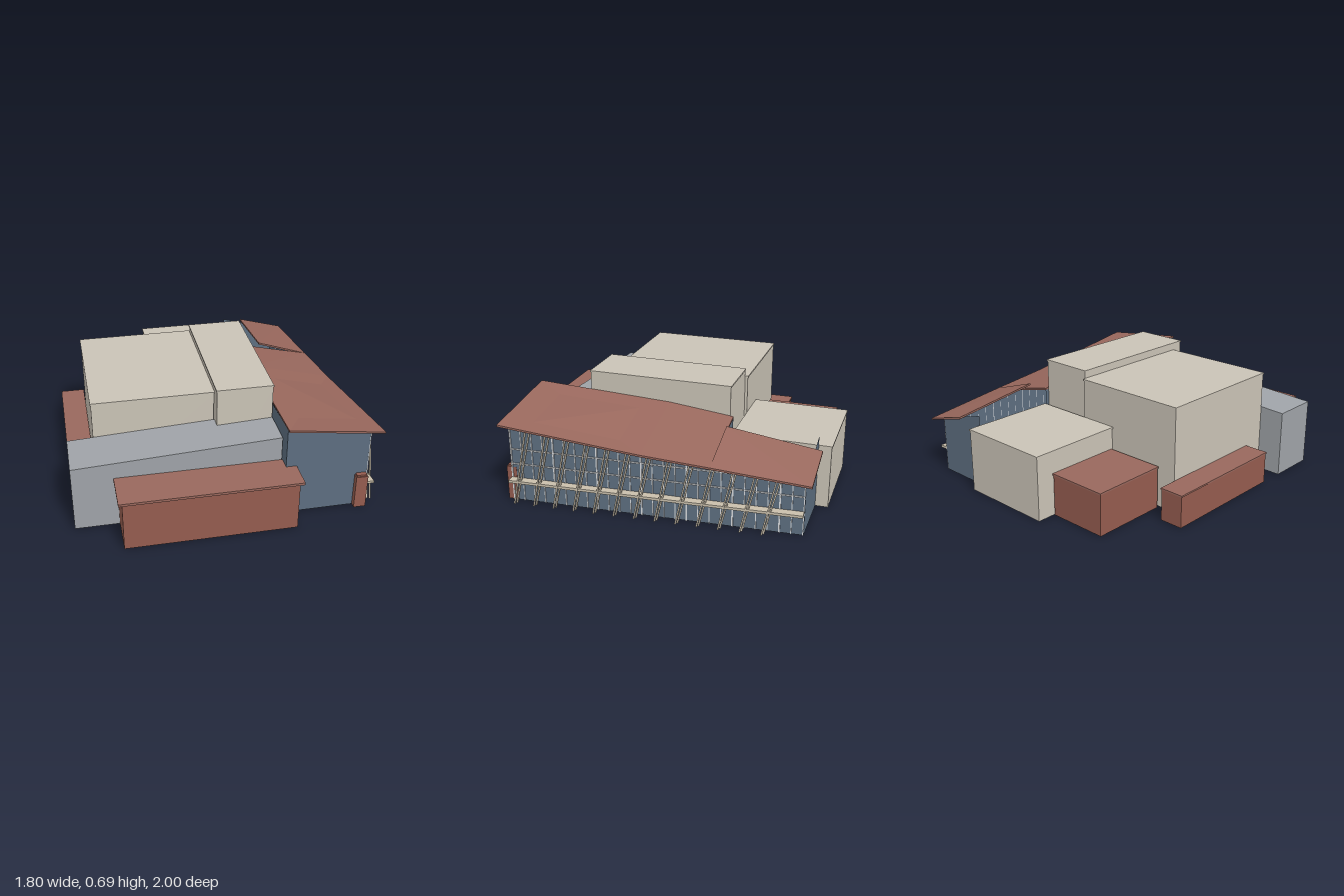
import * as THREE from 'three';

const mat = (name, color) => {
  const m = new THREE.MeshStandardMaterial({ color, side: THREE.DoubleSide });
  m.name = name;
  return m;
};

export function createModel() {
  const model = new THREE.Group();
  model.name = 'building';
  const beige = mat('beige cladding', 0xcac3b6);
  const brick = mat('red brick', 0x945c4f);
  const roofRed = mat('red roof', 0x99685d);
  const grey = mat('grey cladding', 0x9fa3a8);
  const blue = mat('blue glass', 0x5d6e80);
  const white = mat('white frame', 0xdadde0);
  const timber = mat('pale timber', 0xc9bfac);

  const add = (name, geo, material, parent = model) => {
    const m = new THREE.Mesh(geo, material);
    m.name = name;
    parent.add(m);
    return m;
  };

  // Box given by its limits; open boxes leave out the floor
  const box = (x0, x1, y0, y1, z0, z1, open = false) => {
    const g = new THREE.BoxGeometry(x1 - x0, y1 - y0, z1 - z0);
    g.translate((x0 + x1) / 2, (y0 + y1) / 2, (z0 + z1) / 2);
    if (open) {
      const i = Array.from(g.index.array);
      i.splice(18, 6);
      g.setIndex(i);
    }
    g.clearGroups();
    return g;
  };

  // Flat-faced surface from a list of four-cornered faces
  const quads = (faces) => {
    const p = [];
    for (const [a, b, c, d] of faces) p.push(...a, ...b, ...c, ...a, ...c, ...d);
    const g = new THREE.BufferGeometry();
    g.setAttribute('position', new THREE.Float32BufferAttribute(p, 3));
    g.computeVertexNormals();
    return g;
  };

  // Flat-roofed volume: open shell with a thin, slightly wider cap
  const block = (name, x0, x1, z0, z1, h, wall, top, lip = 0.004, t = 0.01) => {
    const g = new THREE.Group();
    g.name = name;
    add('walls', box(x0, x1, 0, h - t, z0, z1, true), wall, g);
    add('roofCap', box(x0 - lip, x1 + lip, h - t, h, z0 - lip, z1 + lip), top, g);
    model.add(g);
  };

  block('mainHall', -0.746, -0.024, -0.396, 0.446, 0.643, beige, beige);
  block('tallHall', -0.02, 0.316, -0.38, 0.52, 0.692, beige, beige);
  block('rearHall', -0.263, 0.331, -0.996, -0.4, 0.397, beige, beige);
  block('rearBrickRoom', -0.636, -0.269, -0.882, -0.414, 0.26, brick, roofRed);
  block('sideBrickRoom', -0.896, -0.752, -0.514, 0.297, 0.2, brick, roofRed);

  // Front brick range with overhanging slab
  add('frontBrickRange', box(-0.64, 0.365, 0, 0.31, 0.752, 0.98, true), brick);
  add('frontBrickSlab', box(-0.662, 0.386, 0.31, 0.325, 0.752, 1), roofRed);

  // Grey wing, its roof rising towards the glass hall
  const wing = box(-0.9, 0.318, 0, 0.41, 0.45, 0.75, true);
  const wp = wing.attributes.position;
  for (let i = 0; i < wp.count; i++) {
    if (wp.getY(i) > 0.2 && wp.getX(i) > 0) wp.setY(i, 0.474);
  }
  wing.computeVertexNormals();
  add('greyWing', wing, grey);

  // Sloping roof: lofted from sections [z, left x, left y, right x, right y]
  const thick = 0.012;
  const roof = (sections) => {
    const rings = sections.map(([z, xl, yl, xr, yr]) => [
      [xl, yl, z], [xr, yr, z], [xr, yr - thick, z], [xl, yl - thick, z]]);
    const faces = [rings[0], [...rings[rings.length - 1]].reverse()];
    for (let s = 0; s < rings.length - 1; s++) {
      for (let k = 0; k < 4; k++) {
        const n = (k + 1) % 4;
        faces.push([rings[s][n], rings[s][k], rings[s + 1][k], rings[s + 1][n]]);
      }
    }
    return quads(faces.map((f) => [...f].reverse()));
  };
  add('frontRoof', roof([
    [0.862, 0.32, 0.59, 0.895, 0.513],
    [0, 0.32, 0.548, 0.836, 0.42],
    [-0.4, 0.32, 0.504, 0.809, 0.39]]), roofRed);
  add('backRoof', roof([
    [-0.4, 0.47, 0.502, 0.809, 0.39],
    [-0.965, 0.47, 0.426, 0.77, 0.343]]), roofRed);

  // Glass line in plan, and the height of the roof underside above it
  const zFront = 0.83, zBack = -0.92;
  const glassX = (z) => 0.818 + (z - zFront) * 0.0685;
  const eave = (z) => (z > 0 ? 0.423 + 0.11 * z : 0.423 + 0.075 * z);

  // Hall walls
  const gf = glassX(zFront), gb = glassX(zBack);
  add('frontWall', quads([[[0.322, 0, zFront], [gf, 0, zFront],
    [gf, 0.51, zFront], [0.322, 0.576, zFront]]]), blue);
  add('backWall', quads([[[gb, 0, zBack], [0.335, 0, zBack],
    [0.335, 0.457, zBack], [gb, 0.355, zBack]]]), blue);
  add('innerWall', quads([[[0.322, 0, -0.4], [0.322, 0, zFront],
    [0.322, 0.576, zFront], [0.322, 0.492, -0.4]]]), blue);
  const g0 = glassX(0);
  add('glassWall', quads([
    [[gf, 0, zFront], [g0, 0, 0], [g0, eave(0), 0], [gf, eave(zFront), zFront]],
    [[g0, 0, 0], [gb, 0, zBack], [gb, eave(zBack), zBack], [g0, eave(0), 0]]]), blue);

  // Straight bar between two points
  const bar = (name, a, b, w, d, material, parent) => {
    const va = new THREE.Vector3(...a), vb = new THREE.Vector3(...b);
    const m = add(name, new THREE.BoxGeometry(w, d, va.distanceTo(vb)), material, parent);
    m.position.copy(va).add(vb).multiplyScalar(0.5);
    m.lookAt(vb);
  };

  // Window frame
  const frame = new THREE.Group();
  frame.name = 'windowFrame';
  model.add(frame);
  for (let i = 0; i <= 26; i++) {
    const z = zFront - 0.004 - i * 0.067;
    const x = glassX(z) + 0.003, w = i % 4 ? 0.005 : 0.009;
    add('mullion', box(x - 0.003, x + 0.003, 0, eave(z), z - w / 2, z + w / 2), white, frame);
  }
  for (const y of [0.24, 0.335]) {
    bar('transom', [gf + 0.004, y, zFront], [gb + 0.004, y, zBack], 0.006, 0.008, white, frame);
  }

  // Ledge running along the glass
  bar('ledge', [gf + 0.03, 0.143, zFront], [gb + 0.03, 0.143, zBack], 0.052, 0.016, timber, model);

  // Leaning paired struts under the eave
  const struts = new THREE.Group();
  struts.name = 'struts';
  model.add(struts);
  for (let i = 0; i < 13; i++) {
    const z = 0.795 - i * 0.1245;
    for (const side of [-1, 1]) {
      const zb = z + side * 0.004;
      const zt = z - 0.22 * eave(z) + side * 0.009;
      bar('strut', [glassX(zb) + 0.048 + side * 0.008, 0, zb],
        [glassX(zt) + 0.05 + side * 0.008, eave(zt) - 0.008, zt], 0.009, 0.009, timber, struts);
    }
  }

  // Brick pier at the front corner
  add('cornerPier', box(0.746, 0.818, 0, 0.215, 0.8, 0.865), brick);
  add('cornerPierCap', box(0.752, 0.812, 0.215, 0.225, 0.806, 0.859), brick);

  return model;
}
